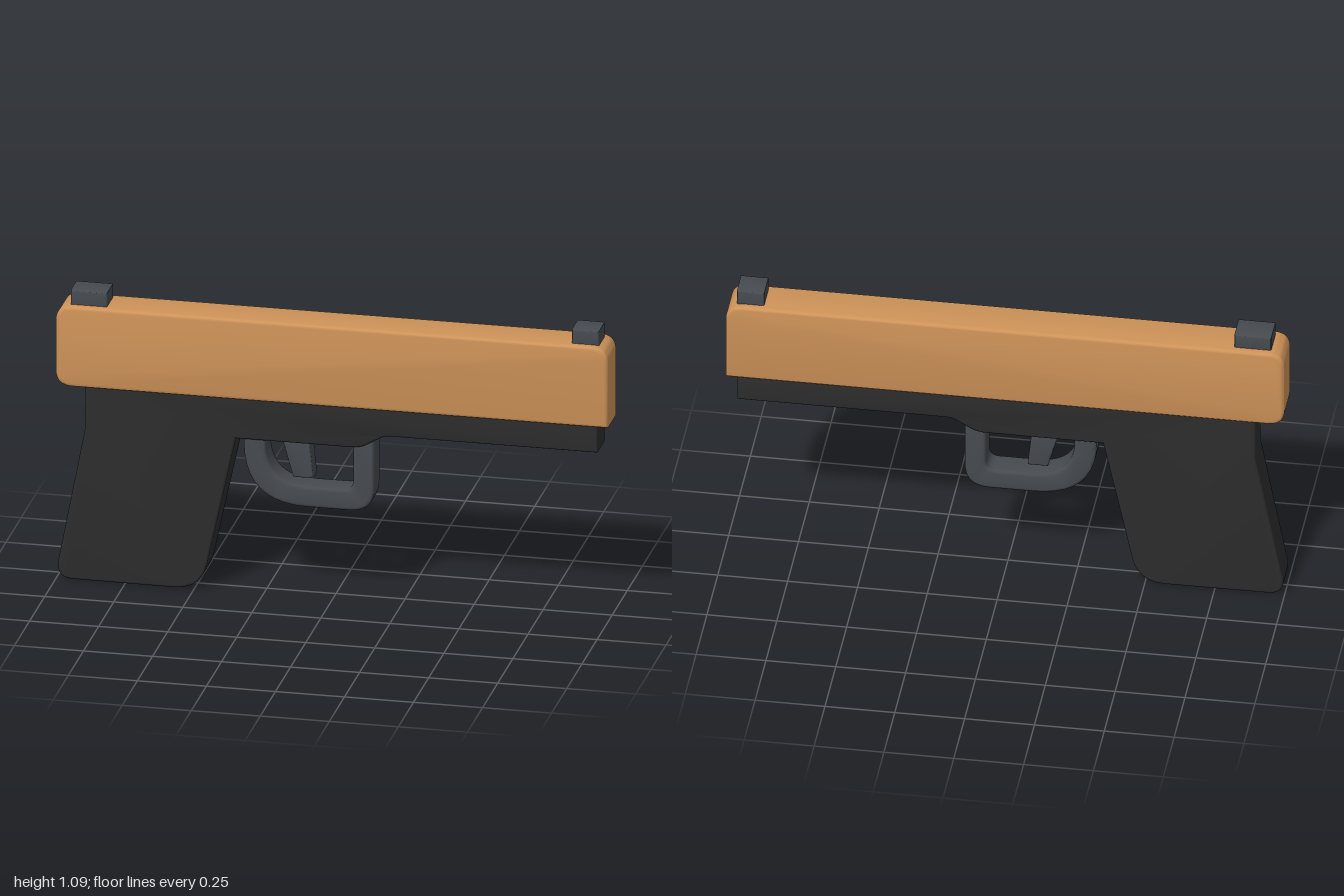
import * as THREE from 'three';
import { toCreasedNormals } from 'three/addons/utils/BufferGeometryUtils.js';

const flat = (name, color) => Object.assign(new THREE.MeshStandardMaterial({ color }), { name });

// Closed outline from [x, y, cornerRadius] points, corners rounded with quadratic curves
function outline(points) {
  const shape = new THREE.Shape();
  const n = points.length;
  points.forEach(([x, y, r = 0], i) => {
    const corner = new THREE.Vector2(x, y);
    const toward = ([px, py]) => {
      const d = new THREE.Vector2(px - x, py - y).normalize();
      return corner.clone().addScaledVector(d, r);
    };
    const a = toward(points[(i + n - 1) % n]);
    const b = toward(points[(i + 1) % n]);
    if (i === 0) shape.moveTo(a.x, a.y);
    else shape.lineTo(a.x, a.y);
    if (r > 0) shape.quadraticCurveTo(x, y, b.x, b.y);
  });
  shape.closePath();
  return shape;
}

// Slab centred on z = 0 with softened edges that stay inside the outline
function slab(name, points, halfWidth, bevel, material) {
  const geometry = new THREE.ExtrudeGeometry(outline(points), {
    depth: 2 * (halfWidth - bevel),
    bevelEnabled: true,
    bevelSize: bevel,
    bevelThickness: bevel,
    bevelOffset: -bevel,
    bevelSegments: 3,
    curveSegments: 10,
  });
  geometry.translate(0, 0, -(halfWidth - bevel));
  const mesh = new THREE.Mesh(toCreasedNormals(geometry, 0.6), material);
  mesh.name = name;
  return mesh;
}

export function createModel() {
  const tan = flat('tan', 0xcd9258);
  const black = flat('black', 0x2d2d2d);
  const grey = flat('grey', 0x464b50);

  const model = new THREE.Group();
  model.name = 'toyPistol';

  // Upper slide, square only at the lower front corner
  model.add(slab('slide', [
    [-1, 0.737, 0.06], [1, 0.737], [1, 1.04, 0.06], [-1, 1.04, 0.06],
  ], 0.078, 0.012, tan));

  // Frame and raked grip in one piece
  model.add(slab('frameAndGrip', [
    [-0.895, 0.76], [-0.895, 0.58], [-1.005, 0.005, 0.07], [-0.475, 0.003, 0.1],
    [-0.35, 0.585], [0.1, 0.585, 0.03], [0.19, 0.637, 0.02], [0.96, 0.637], [0.96, 0.76],
  ], 0.066, 0.008, black));

  // U-shaped trigger guard, its ends sunk into the frame
  model.add(slab('triggerGuard', [
    [-0.325, 0.61], [-0.325, 0.34, 0.23], [0.148, 0.34, 0.09], [0.148, 0.61],
    [0.072, 0.61], [0.072, 0.418, 0.035], [-0.245, 0.418, 0.15], [-0.245, 0.61],
  ], 0.052, 0.012, grey));

  // Trigger
  model.add(slab('trigger', [
    [-0.195, 0.61], [-0.148, 0.445], [-0.075, 0.445], [-0.092, 0.61],
  ], 0.035, 0.006, grey));

  // Rear and front sights
  for (const [name, x0, x1] of [['rearSight', -0.95, -0.818], ['frontSight', 0.865, 0.963]]) {
    model.add(slab(name, [[x0, 1.03], [x1, 1.03], [x1, 1.092], [x0, 1.092]], 0.052, 0.006, grey));
  }

  return model;
}
